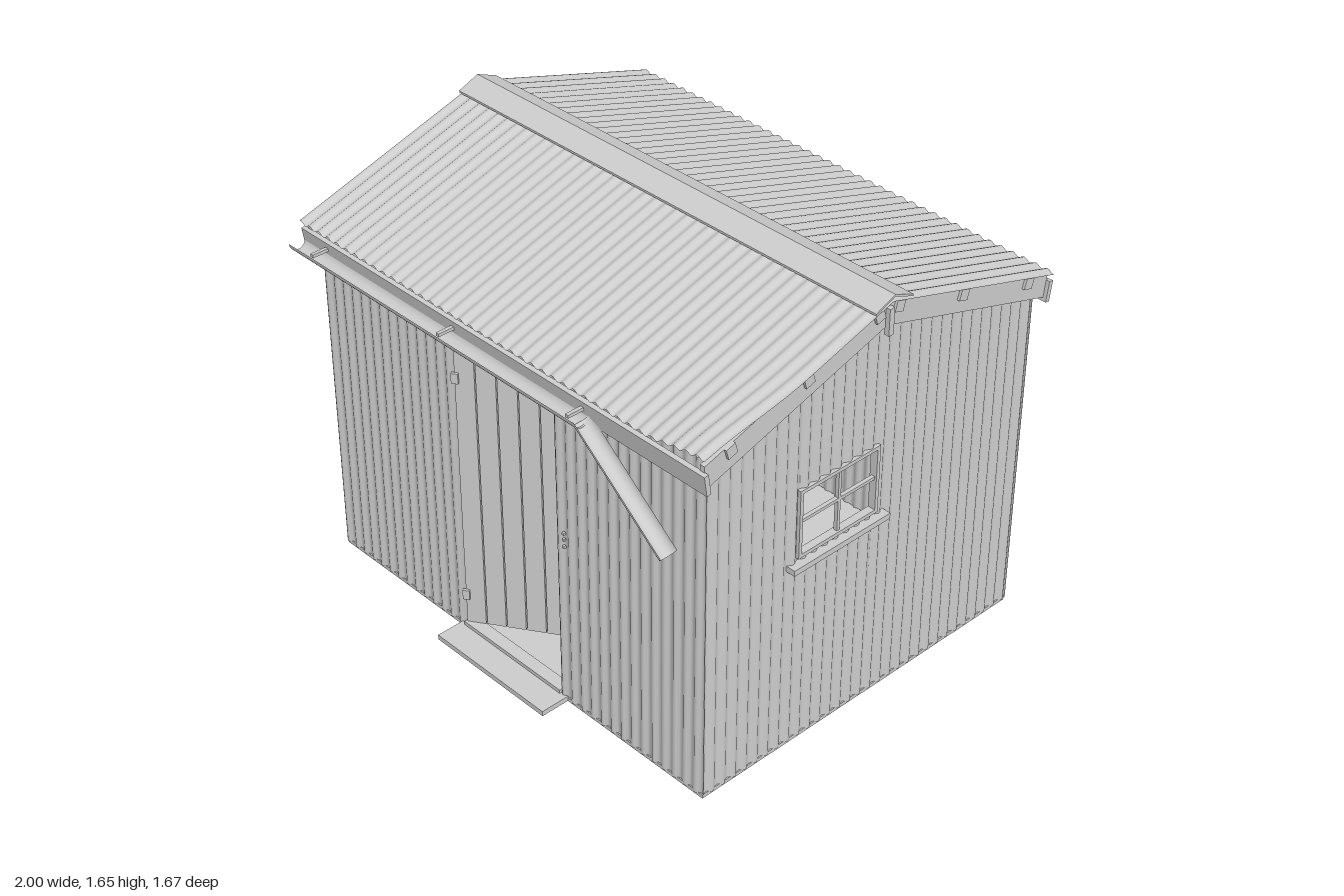
import * as THREE from 'three';
import { mergeVertices } from 'three/addons/utils/BufferGeometryUtils.js';

const MAT = new THREE.MeshStandardMaterial({ color: 0xcccccc });
const THIN = new THREE.MeshStandardMaterial({ color: 0xcccccc, side: THREE.DoubleSide });
const RIDGE_Z = -0.025, SLOPE = 0.305;
const roofY = (z) => 1.63 - SLOPE * Math.abs(z - RIDGE_Z);
const wave = (u) => 0.006 * Math.sin((u * Math.PI * 2) / 0.05);

export function createModel() {
  const root = new THREE.Group();
  root.name = 'shed';

  const add = (name, geo, parent = root, mat = MAT) => {
    const m = new THREE.Mesh(geo, mat);
    m.name = name;
    parent.add(m);
    return m;
  };
  const box = (name, w, h, d, x, y, z, parent = root) => {
    const m = add(name, new THREE.BoxGeometry(w, h, d), parent);
    m.position.set(x, y, z);
    return m;
  };

  // Corrugated wall in vertical strips; opening = [u0, u1, y0, y1]
  const wall = (name, u0, u1, top, place, opening) => {
    const pos = [];
    const n = Math.round((u1 - u0) / 0.01);
    for (let i = 0; i < n; i++) {
      const a = u0 + ((u1 - u0) * i) / n, b = u0 + ((u1 - u0) * (i + 1)) / n, mid = (a + b) / 2;
      const cut = opening && mid > opening[0] && mid < opening[1];
      const spans = cut
        ? [[0.01, 0.01, opening[2], opening[2]], [opening[3], opening[3], top(a), top(b)]]
        : [[0.01, 0.01, top(a), top(b)]];
      for (const [ya, yb, ta, tb] of spans) {
        if (ta - ya < 0.005) continue;
        const p = [[a, ya], [b, yb], [b, tb], [a, ta]].map(([u, y]) => place(u, y, wave(u)));
        for (const k of [0, 1, 2, 0, 2, 3]) pos.push(...p[k]);
      }
    }
    let g = new THREE.BufferGeometry();
    g.setAttribute('position', new THREE.Float32BufferAttribute(pos, 3));
    g = mergeVertices(g, 1e-4);
    g.computeVertexNormals();
    return add(name, g, root, THIN);
  };

  // Floor, step and walls
  box('floor', 1.89, 0.015, 1.51, 0, 0.0075, RIDGE_Z);
  box('doorStep', 0.56, 0.02, 0.16, 0, 0.01, 0.765);
  const gableTop = (z) => roofY(z) - 0.015;
  wall('frontWall', -0.95, 0.95, () => 1.37, (u, y, h) => [u, y, 0.73 + h], [-0.26, 0.25, 0.03, 1.24]);
  wall('backWall', -0.95, 0.95, () => 1.37, (u, y, h) => [-u, y, -0.78 - h]);
  wall('leftWall', -0.73, 0.78, (u) => gableTop(-u), (u, y, h) => [0.945 + h, y, -u], [-0.31, 0.04, 0.79, 1.04]);
  wall('rightWall', -0.78, 0.73, gableTop, (u, y, h) => [-0.945 - h, y, u]);

  // Roof slopes, with the front corner bent upwards at the +x end
  for (const s of [1, -1]) {
    const zEnd = s > 0 ? 0.785 : -0.83;
    const g = new THREE.PlaneGeometry(1.99, 1, 240, 12);
    const p = g.attributes.position;
    for (let i = 0; i < p.count; i++) {
      const x = p.getX(i), t = p.getY(i) + 0.5;
      const z = RIDGE_Z + (zEnd - RIDGE_Z) * t;
      const lift = s > 0
        ? 0.04 * THREE.MathUtils.smoothstep(x, 0.7, 1) * THREE.MathUtils.smoothstep(t, 0.45, 1) : 0;
      p.setXYZ(i, x, roofY(z) + wave(x) + lift, z);
    }
    g.computeVertexNormals();
    add(s > 0 ? 'frontRoof' : 'backRoof', g, root, THIN);
  }

  // Chevron-shaped board running along z, extruded along x
  const chevron = (name, half, peak, drop, thick, x0, width) => {
    const sh = new THREE.Shape();
    sh.moveTo(RIDGE_Z - half, peak - drop);
    sh.lineTo(RIDGE_Z, peak);
    sh.lineTo(RIDGE_Z + half, peak - drop);
    sh.lineTo(RIDGE_Z + half, peak - drop - thick);
    sh.lineTo(RIDGE_Z, peak - thick);
    sh.lineTo(RIDGE_Z - half, peak - drop - thick);
    const g = new THREE.ExtrudeGeometry(sh, { depth: width, bevelEnabled: false });
    g.rotateY(-Math.PI / 2);
    g.translate(x0 + width, 0, 0);
    add(name, g);
  };
  chevron('ridgeCap', 0.085, 1.655, 0.035, 0.008, -1, 2);
  for (const s of [1, -1]) {
    chevron('bargeBoard', 0.79, 1.62, 0.24, 0.09, s * 0.965 - 0.01, 0.02);
    box('ridgePost', 0.02, 0.1, 0.022, s * 0.982, 1.55, RIDGE_Z);
  }

  // Purlins showing at both gables
  for (const z of [0.66, 0.33, 0.02, -0.07, -0.38, -0.71]) {
    const m = box('purlin', 1.97, 0.04, 0.04, 0, roofY(z) - 0.03, z);
    m.rotation.x = Math.sign(z - RIDGE_Z) * Math.atan(SLOPE);
  }

  // Eaves fascias, leaning slightly with the roof
  for (const [z, s] of [[0.765, 1], [-0.815, -1]]) {
    const m = box('fascia', 1.985, 0.078, 0.018, -0.003, 1.318, z);
    m.rotation.x = s * 0.15;
  }

  // Gutter: a fixed length and a broken length hanging down
  const gutter = (name, len) => {
    const g = new THREE.CylinderGeometry(0.035, 0.035, len, 14, 1, true, 0, Math.PI);
    g.rotateZ(-Math.PI / 2);
    return add(name, g, root, THIN);
  };
  gutter('gutter', 1.46).position.set(-0.26, 1.318, 0.805);
  const hanging = gutter('brokenGutter', 0.5);
  hanging.position.set(0.668, 1.163, 0.805);
  hanging.rotation.z = Math.atan2(-0.32, 0.4);
  for (const x of [-0.86, -0.19, 0.44]) {
    box('gutterBracket', 0.014, 0.012, 0.07, x, 1.328, 0.805);
  }

  // Door frame
  for (const x of [-0.268, 0.258]) box('doorJamb', 0.018, 1.22, 0.04, x, 0.63, 0.7);
  box('doorHead', 0.53, 0.02, 0.04, -0.005, 1.24, 0.7);
  box('threshold', 0.51, 0.02, 0.05, -0.005, 0.025, 0.715);
  for (const y of [0.68, 0.71, 0.735]) box('boltHead', 0.01, 0.01, 0.01, 0.292, y, 0.738);

  // Plank door, hinged at -x and standing ajar inwards
  const door = new THREE.Group();
  door.name = 'door';
  door.position.set(-0.26, 0, 0.725);
  door.rotation.y = 0.58;
  root.add(door);
  const tops = [1.21, 1.2, 1.205, 1.205, 1.2, 1.18, 1.205];
  tops.forEach((top, i) => {
    box('doorPlank', 0.069, top - 0.035, 0.016, 0.037 + i * 0.0735, (top + 0.035) / 2, 0, door);
  });
  for (const y of [0.16, 1.08]) {
    box('doorBrace', 0.48, 0.06, 0.016, 0.26, y, -0.016, door);
    box('hinge', 0.025, 0.04, 0.012, 0.005, y, 0.012, door);
  }
  const brace = box('diagonalBrace', 0.95, 0.06, 0.014, 0.26, 0.62, -0.016, door);
  brace.rotation.z = 1.1;
  const handle = box('doorHandle', 0.012, 0.11, 0.015, 0.48, 0.65, 0.018, door);
  handle.rotation.z = -0.25;

  // Window on the +x gable
  const win = new THREE.Group();
  win.name = 'window';
  win.position.set(0.94, 0, 0.135);
  root.add(win);
  for (const s of [1, -1]) box('windowJamb', 0.03, 0.27, 0.014, 0, 0.915, s * 0.178, win);
  for (const y of [0.787, 1.043]) box('windowRail', 0.03, 0.014, 0.37, 0, y, 0, win);
  box('verticalBar', 0.015, 0.25, 0.012, 0, 0.915, -0.005, win);
  box('horizontalBar', 0.015, 0.012, 0.35, 0, 0.92, 0, win);
  box('windowSill', 0.05, 0.022, 0.45, 0.012, 0.755, 0, win);

  return root;
}
